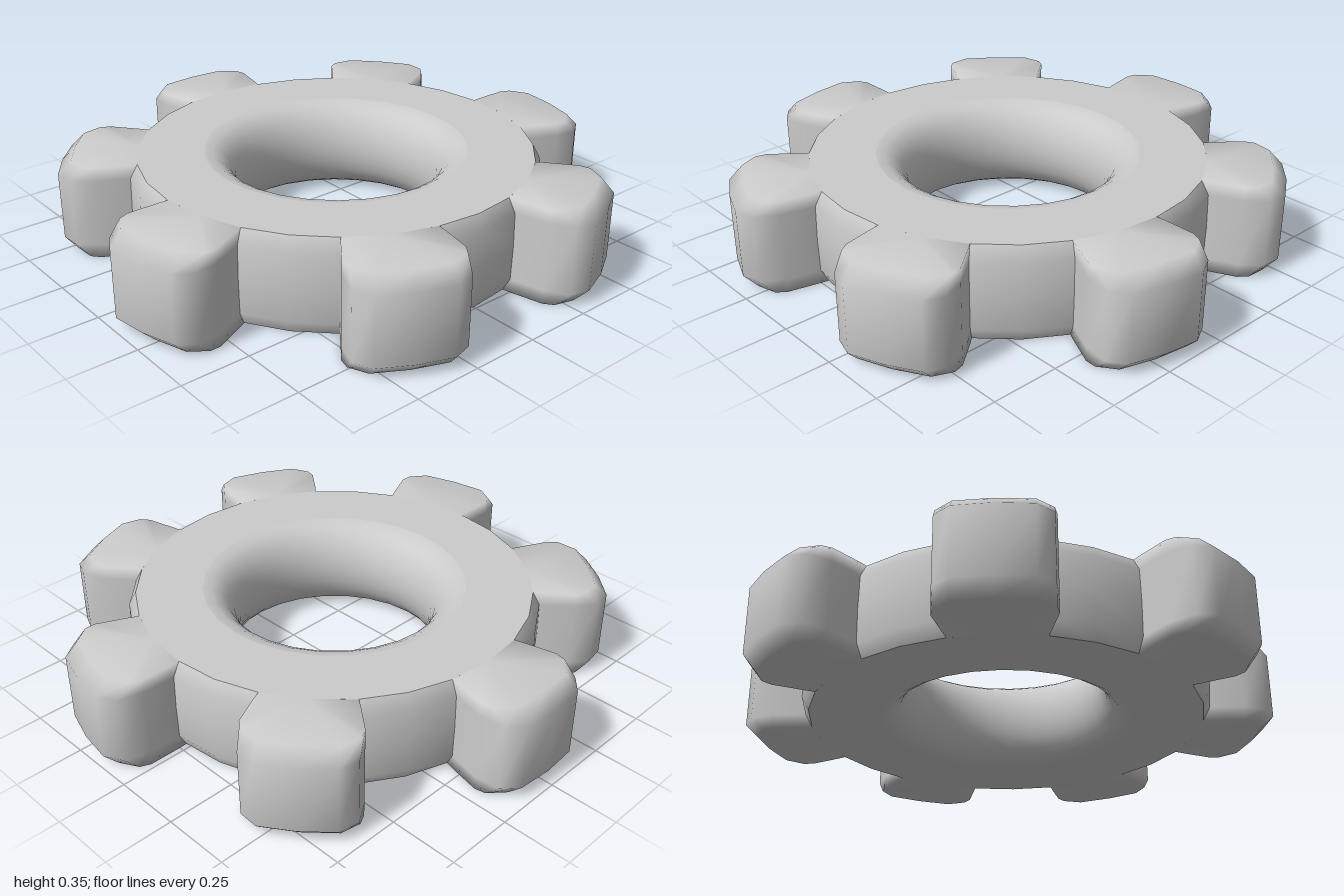
import * as THREE from 'three';

const HEIGHT = 0.35, BEVEL = 0.05, TEETH = 7, SEGMENTS = 28;
const material = new THREE.MeshStandardMaterial({ color: 0xcccccc });

function addLathe(parent, name, points) {
  const geometry = new THREE.LatheGeometry(points.map(([r, y]) => new THREE.Vector2(r, y)), SEGMENTS);
  const mesh = new THREE.Mesh(geometry, material);
  mesh.name = name;
  parent.add(mesh);
}

// One tooth: a rounded outline stacked in four levels, with the tip drawn in at top and bottom
function toothGeometry() {
  const half = [[0.702, 0.16], [0.73, 0.168], [0.85, 0.195], [0.94, 0.187], [0.99, 0.13]];
  const outline = [...half.map(([r, t]) => [r, -t]), [1, 0], ...half.slice().reverse()];
  const levels = [[0, BEVEL], [BEVEL, 0], [HEIGHT - BEVEL, 0], [HEIGHT, BEVEL]];
  const n = outline.length, positions = [], index = [];
  for (const [y, inset] of levels) {
    for (const [r, t] of outline) positions.push(r > 0.9 ? r - inset : r, y, t);
  }
  // Side walls
  for (let k = 0; k < levels.length - 1; k++) {
    for (let i = 0; i < n - 1; i++) {
      const a = k * n + i, b = a + 1, c = a + n, d = c + 1;
      index.push(a, c, b, b, c, d);
    }
  }
  // Flat caps, fanned from the middle of the root
  const bottom = levels.length * n, top = bottom + 1, last = (levels.length - 1) * n;
  positions.push(0.72, 0, 0, 0.72, HEIGHT, 0);
  for (let i = 0; i < n - 1; i++) {
    index.push(bottom, i, i + 1, top, last + i + 1, last + i);
  }
  const geometry = new THREE.BufferGeometry();
  geometry.setAttribute('position', new THREE.Float32BufferAttribute(positions, 3));
  geometry.setIndex(index);
  geometry.computeVertexNormals();
  return geometry;
}

export function createModel() {
  const gear = new THREE.Group();
  gear.name = 'gear';
  const wheel = new THREE.Group();
  wheel.name = 'wheel';
  wheel.position.x = 0.02;
  gear.add(wheel);

  // Ring body: flat faces, softly bulging rim and bore
  const inner = 0.48, outer = 0.72;
  addLathe(wheel, 'topFace', [[outer, HEIGHT], [inner, HEIGHT]]);
  addLathe(wheel, 'bottomFace', [[inner, 0], [outer, 0]]);
  addLathe(wheel, 'rim', [[outer, 0], [0.747, BEVEL], [0.75, HEIGHT / 2], [0.747, HEIGHT - BEVEL], [outer, HEIGHT]]);
  const bore = [];
  for (let i = 0; i <= 12; i++) {
    const a = (i / 12) * Math.PI;
    bore.push([inner - 0.125 * Math.sin(a), HEIGHT / 2 * (1 + Math.cos(a))]);
  }
  addLathe(wheel, 'bore', bore);

  // Teeth, the first pointing to -x
  const geometry = toothGeometry();
  for (let i = 0; i < TEETH; i++) {
    const tooth = new THREE.Mesh(geometry, material);
    tooth.name = 'tooth' + (i + 1);
    tooth.rotation.y = Math.PI + (i / TEETH) * Math.PI * 2;
    wheel.add(tooth);
  }
  return gear;
}
